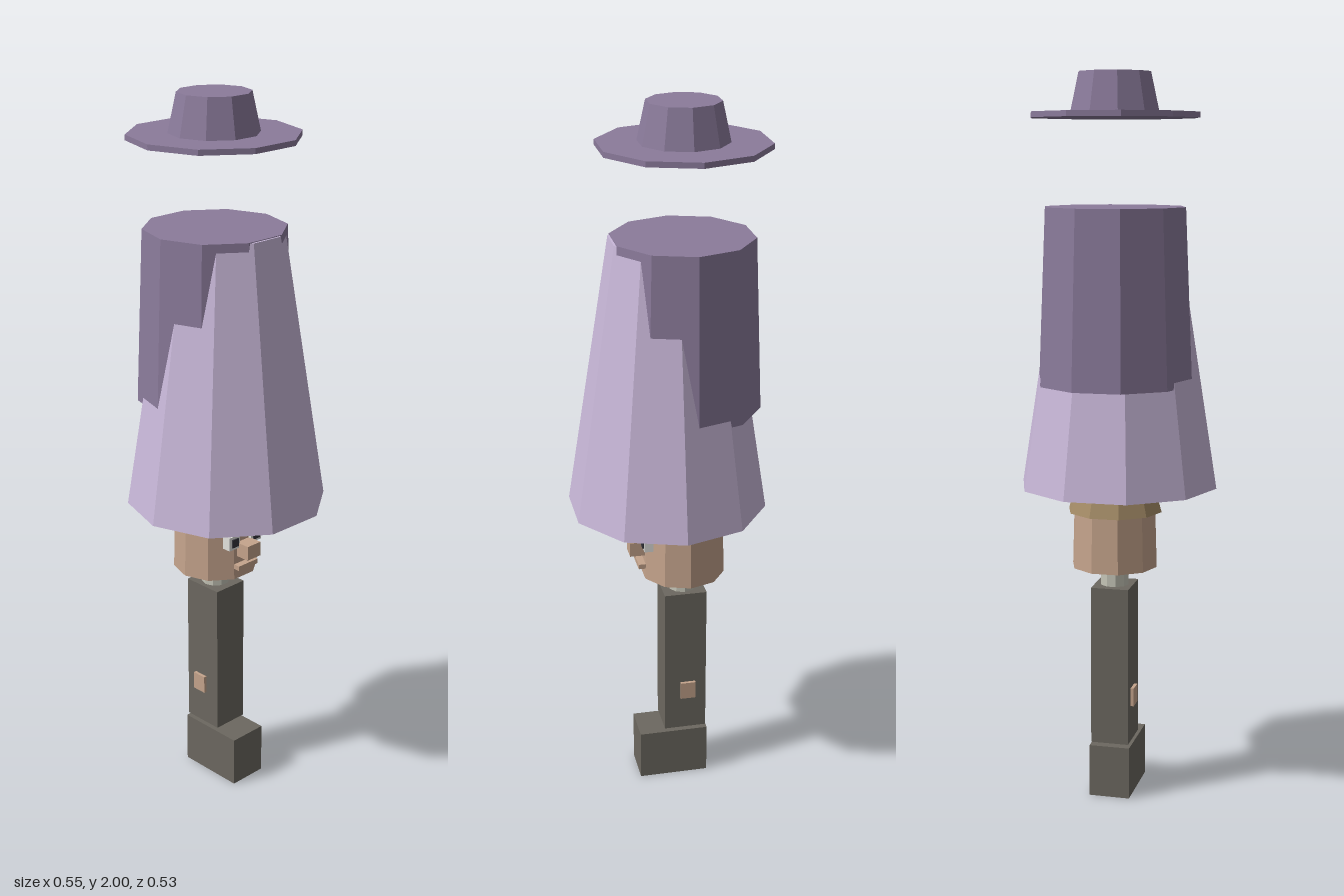
import * as THREE from 'three';

const flat = (name, color) => {
  const m = new THREE.MeshStandardMaterial({ color });
  m.name = name;
  m.flatShading = true;
  return m;
};

export function createModel() {
  const model = new THREE.Group();
  model.name = 'robedFigure';

  const lilac = flat('lilac', 0xc9b8d9);
  const purple = flat('purple', 0x8b7b9b);
  const skin = flat('skin', 0xc5a48c);
  const hairBrown = flat('hairBrown', 0xa68d68);
  const bone = flat('bone', 0xc6c6b8);
  const darkGrey = flat('darkGrey', 0x6c6860);
  const eyeWhite = flat('eyeWhite', 0xe4e4e0);
  const pupilGrey = flat('pupilGrey', 0x34343a);

  const add = (name, geo, mat) => {
    const mesh = new THREE.Mesh(geo, mat);
    mesh.name = name;
    model.add(mesh);
    return mesh;
  };

  // Ten-sided tapered drum with corners on the x axis
  const drum = (name, rTop, rBottom, y0, y1, z, mat) => {
    const geo = new THREE.CylinderGeometry(rTop, rBottom, y1 - y0, 10);
    geo.rotateY(Math.PI / 2);
    geo.translate(0, (y0 + y1) / 2, z);
    return add(name, geo, mat);
  };

  // Box given by its lower and upper corners
  const box = (name, x0, x1, y0, y1, z0, z1, mat) => {
    const geo = new THREE.BoxGeometry(x1 - x0, y1 - y0, z1 - z0);
    geo.translate((x0 + x1) / 2, (y0 + y1) / 2, (z0 + z1) / 2);
    return add(name, geo, mat);
  };

  const axis = -0.045;

  // Hat floating on top
  drum('hatCrown', 0.099, 0.122, 1.895, 2, axis, purple);
  drum('hatBrim', 0.232, 0.232, 1.88, 1.895, axis, purple);

  // Robe and the cape laid over its back
  drum('robe', 0.156, 0.277, 0.88, 1.645, 0, lilac);
  drum('cape', 0.195, 0.215, 1.17, 1.647, -0.043, purple);

  // Head, hair and neck
  drum('hair', 0.1, 0.132, 0.815, 0.93, -0.04, hairBrown);
  drum('head', 0.115, 0.12, 0.66, 0.83, axis, skin);
  drum('neck', 0.04, 0.04, 0.59, 0.67, axis, bone);

  // Face
  box('nose', -0.025, 0.025, 0.728, 0.77, 0.05, 0.11, skin);
  box('mouth', -0.037, 0.037, 0.692, 0.706, 0.05, 0.088, skin);

  // Eyes and hands, mirrored
  for (const [side, s] of [['left', 1], ['right', -1]]) {
    const x = s * 0.042;
    box(side + 'Eye', x - 0.02, x + 0.02, 0.757, 0.797, 0.05, 0.076, eyeWhite);
    box(side + 'Pupil', x - 0.012, x + 0.012, 0.765, 0.789, 0.075, 0.08, pupilGrey);
    box(side + 'Hand', s * 0.056 - 0.006, s * 0.056 + 0.006, 0.26, 0.312, -0.074, -0.03, skin);
  }

  // Body post and foot block
  box('body', -0.053, 0.053, 0.157, 0.605, -0.106, 0.016, darkGrey);
  box('feet', -0.057, 0.057, 0, 0.148, -0.11, 0.09, darkGrey);

  return model;
}
